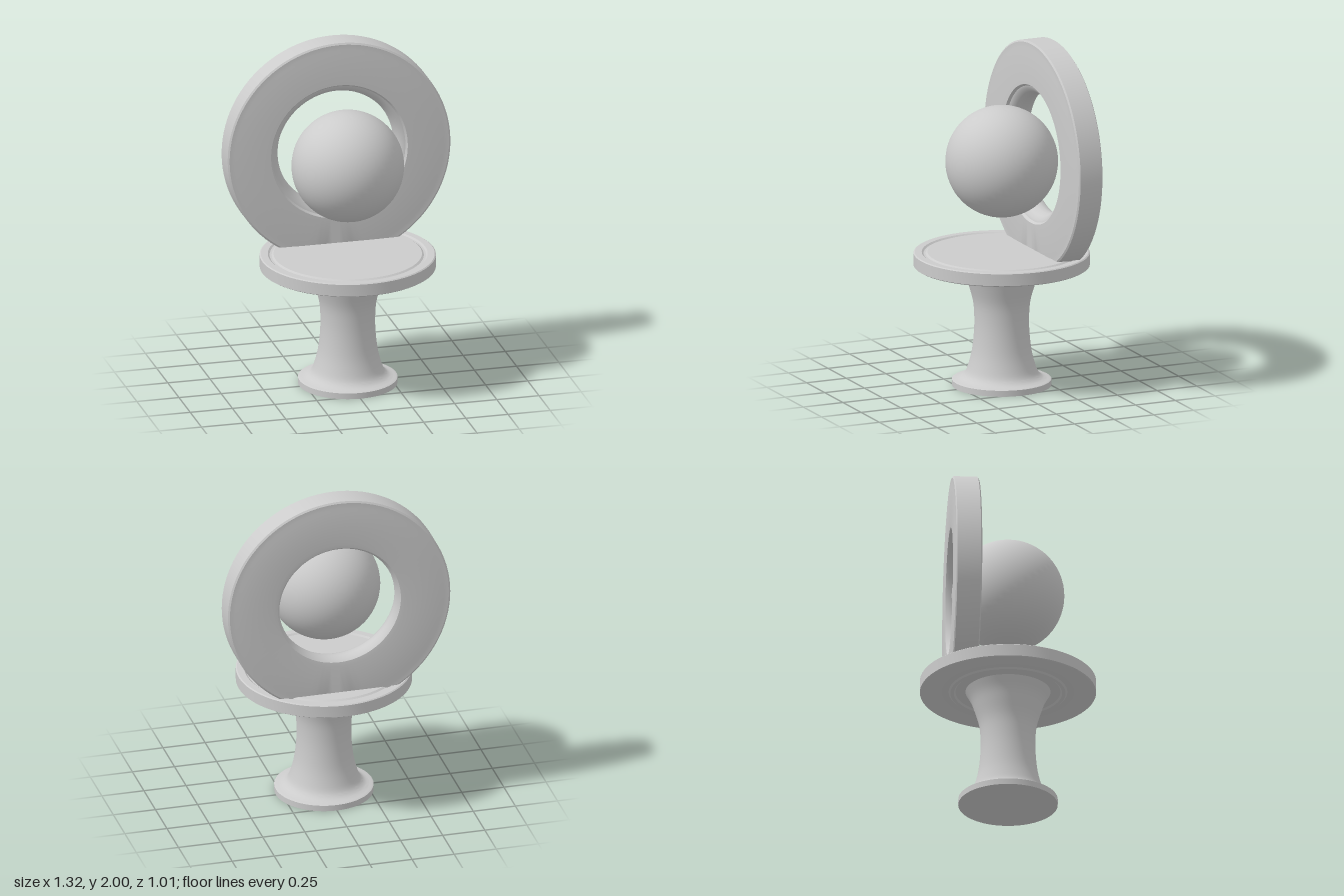
import * as THREE from 'three';
import { toCreasedNormals } from 'three/addons/utils/BufferGeometryUtils.js';

const material = new THREE.MeshStandardMaterial({ color: 0xcccccc });

// Revolve a profile of [radius, height] pairs, listed bottom to top on the outside.
function revolve(profile, segments = 72) {
  return new THREE.LatheGeometry(profile.map(([r, y]) => new THREE.Vector2(r, y)), segments);
}

function addPart(group, name, geometry) {
  const mesh = new THREE.Mesh(toCreasedNormals(geometry, 0.6), material);
  mesh.name = name;
  group.add(mesh);
  return mesh;
}

export function createModel() {
  const group = new THREE.Group();

  // Foot plate and flared stem
  addPart(group, 'foot', revolve([[0, 0], [0.285, 0], [0.285, 0.035], [0.275, 0.04], [0, 0.04]]));
  const flare = [
    [0.265, 0.038], [0.235, 0.05], [0.21, 0.075], [0.192, 0.12], [0.172, 0.2], [0.16, 0.3],
    [0.157, 0.4], [0.165, 0.5], [0.193, 0.6], [0.215, 0.66], [0.245, 0.715],
  ].map(([r, y]) => new THREE.Vector2(r, y));
  const stem = new THREE.SplineCurve(flare).getPoints(40).map((p) => [p.x, p.y]);
  addPart(group, 'stem', revolve(stem));

  // Round shield with a shallow groove on both faces
  addPart(group, 'shield', revolve([
    [0, 0.713], [0.3, 0.713], [0.31, 0.705], [0.33, 0.705], [0.34, 0.713], [0.42, 0.713], [0.435, 0.704],
    [0.495, 0.704], [0.505, 0.71], [0.505, 0.78], [0.498, 0.785], [0.458, 0.785],
    [0.448, 0.777], [0.436, 0.777], [0.425, 0.785], [0, 0.785],
  ]));

  // Upright ring with a stepped, rounded opening
  const ring = revolve([
    [0.365, -0.337], [0.39, -0.34], [0.6, -0.34], [0.62, -0.337], [0.65, -0.337], [0.66, -0.33],
    [0.66, -0.195], [0.65, -0.188], [0.62, -0.188], [0.6, -0.185], [0.405, -0.185],
    [0.395, -0.2], [0.38, -0.205], [0.36, -0.225], [0.347, -0.26], [0.345, -0.29], [0.352, -0.32],
    [0.365, -0.337],
  ], 96);
  ring.rotateX(Math.PI / 2).translate(0, 1.34, 0);
  // Flatten the bottom so it ends inside the shield
  const position = ring.attributes.position;
  for (let i = 0; i < position.count; i++) {
    position.setY(i, Math.max(position.getY(i), 0.74));
  }
  addPart(group, 'ring', ring);

  // Teat bulb
  addPart(group, 'bulb', new THREE.SphereGeometry(0.323, 48, 32)).position.set(0, 1.32, 0);

  return group;
}
